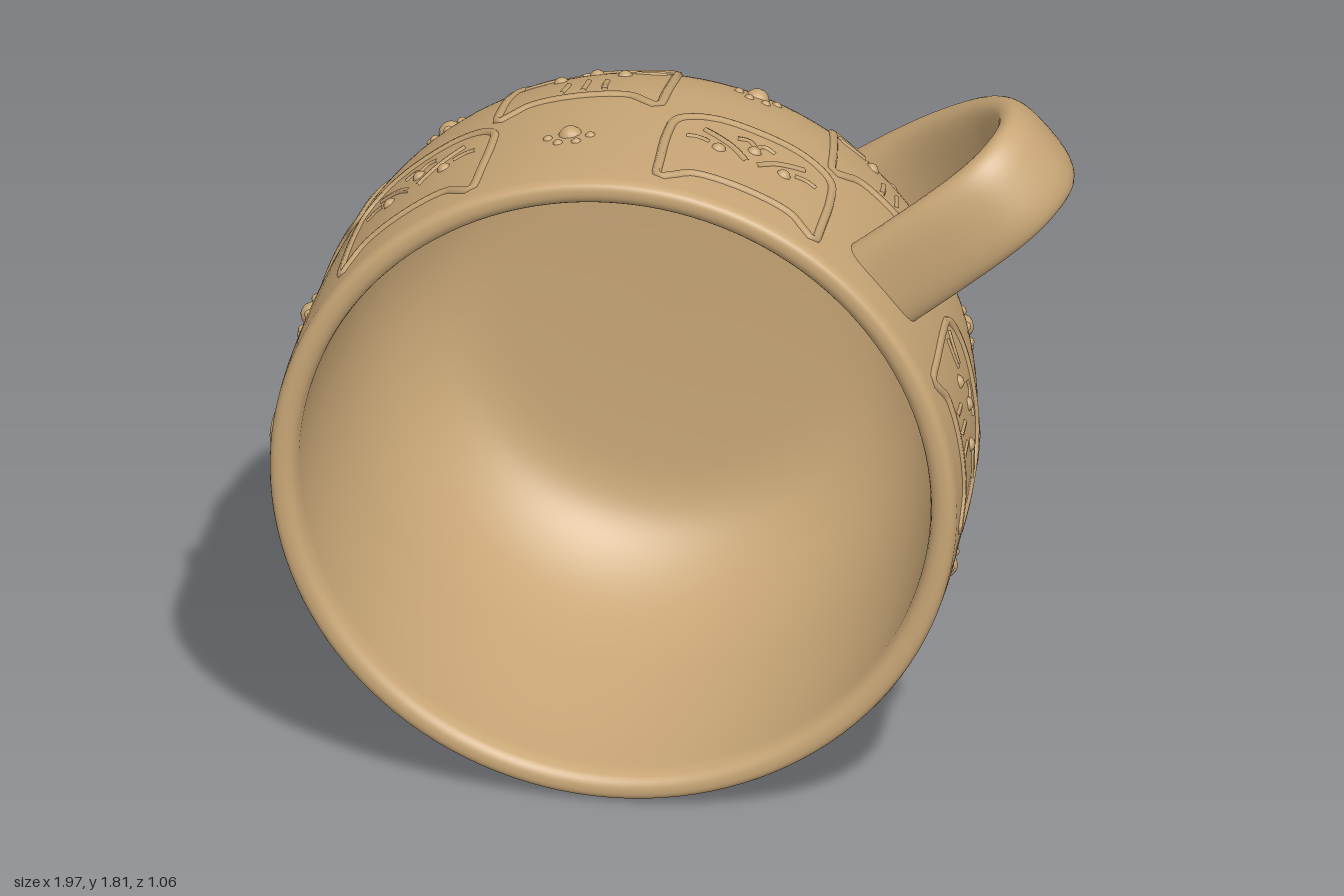
import * as THREE from 'three';
import { mergeGeometries } from 'three/addons/utils/BufferGeometryUtils.js';
import { ParametricGeometry } from 'three/addons/geometries/ParametricGeometry.js';

const CX = -0.125, CY = 0.875;          // the mug's axis runs along z through here
const V2 = (p) => new THREE.Vector2(p[0], p[1]);
const spline = (pts, n) => new THREE.SplineCurve(pts.map(V2)).getPoints(n);

// Half-section of the mug as (radius, z)
const base = spline([[0, -0.49], [0.3, -0.49], [0.41, -0.495], [0.47, -0.522], [0.52, -0.532], [0.56, -0.525]], 30);
const outer = spline([[0.56, -0.525], [0.6, -0.485], [0.67, -0.405], [0.735, -0.31], [0.79, -0.2], [0.822, -0.08],
  [0.84, 0.06], [0.853, 0.25], [0.859, 0.42], [0.858, 0.505]], 60);
const lip = spline([[0.858, 0.505], [0.852, 0.522], [0.838, 0.53], [0.815, 0.528], [0.797, 0.512], [0.789, 0.48]], 16);
const inner = spline([[0.789, 0.48], [0.783, 0.3], [0.765, 0.1], [0.735, -0.08], [0.68, -0.23], [0.59, -0.345],
  [0.48, -0.4], [0.3, -0.415], [0, -0.42]], 50);

// Outer radius at a given z
function radiusAt(z) {
  for (let i = 1; i < outer.length; i++) {
    const a = outer[i - 1], b = outer[i];
    if (z <= b.y) return a.x + (b.x - a.x) * (z - a.y) / (b.y - a.y);
  }
  return outer[outer.length - 1].x;
}

// Point on the wall; angle is measured from the top towards +x
function onWall(angle, z, lift) {
  const r = radiusAt(z) + lift;
  return new THREE.Vector3(CX + r * Math.sin(angle), CY + r * Math.cos(angle), z);
}

// Raised line and raised dot, drawn in a local (u, v) frame wrapped on the wall
function stroke(at, pts, width, closed = false) {
  const flat = closed ? [...pts, pts[0]] : pts;
  let samples = spline(flat, closed ? 60 : 10);
  if (closed) samples = samples.slice(0, -1);
  const path = samples.map((p) => onWall(at.angle + p.x / 0.83, at.z + p.y, -width * 0.3));
  return new THREE.TubeGeometry(new THREE.CatmullRomCurve3(path, closed), closed ? 80 : 12, width, 6, closed);
}
function dot(at, u, v, size) {
  const p = onWall(at.angle + u / 0.83, at.z + v, -size * 0.4);
  return new THREE.SphereGeometry(size, 12, 8).translate(p.x, p.y, p.z);
}

// Cat head: outline with two ears, whiskers, nose, eyes and forehead stripes
function catRelief(at, striped) {
  const parts = [stroke(at, [[0, 0.14], [0.12, 0.145], [0.17, 0.18], [0.205, 0.195], [0.212, 0.1], [0.215, -0.05], [0.2, -0.14],
    [0.12, -0.185], [0, -0.19], [-0.12, -0.185], [-0.2, -0.14], [-0.215, -0.05], [-0.212, 0.1], [-0.205, 0.195],
    [-0.17, 0.18], [-0.12, 0.145]], 0.014, true)];
  for (const s of [-1, 1]) {
    parts.push(dot(at, s * 0.085, -0.03, 0.02));
    parts.push(stroke(at, [[0, -0.1], [s * 0.02, -0.125], [s * 0.05, -0.115]], 0.008));
    if (striped) {
      parts.push(stroke(at, [[s * 0.11, -0.08], [s * 0.15, -0.085], [s * 0.19, -0.105]], 0.008));
      parts.push(stroke(at, [[s * 0.11, -0.06], [s * 0.15, -0.055], [s * 0.19, -0.06]], 0.008));
      parts.push(stroke(at, [[s * 0.05, 0.03], [s * 0.05, 0.06], [s * 0.055, 0.1]], 0.009));
    } else {
      parts.push(stroke(at, [[s * 0.012, -0.01], [s * 0.06, -0.065], [s * 0.13, -0.11]], 0.01));
      parts.push(stroke(at, [[s * 0.11, -0.05], [s * 0.14, -0.06], [s * 0.17, -0.055]], 0.008));
    }
  }
  parts.push(dot(at, 0, -0.08, 0.02));
  if (striped) parts.push(stroke(at, [[0, 0.02], [0, 0.06], [0, 0.1]], 0.009));
  return mergeGeometries(parts);
}

// Paw print: one pad and a fan of toes
function pawRelief(at) {
  const parts = [dot(at, 0, 0, 0.032)];
  for (let i = 0; i < 4; i++) {
    const a = Math.PI * (0.1 + 0.8 * i / 3);
    parts.push(dot(at, 0.055 * Math.cos(a), 0.055 * Math.sin(a), 0.014));
  }
  return mergeGeometries(parts);
}

// Strap handle swept in the plane of the axis and a 40 degree radius
function handleGeometry() {
  const path = new THREE.SplineCurve([[0.79, 0.345], [0.95, 0.355], [1.12, 0.352], [1.23, 0.325], [1.295, 0.255], [1.31, 0.17],
    [1.27, 0.05], [1.17, -0.07], [1.02, -0.175], [0.87, -0.245], [0.72, -0.29]].map(V2));
  const a = THREE.MathUtils.degToRad(39.8), ca = Math.cos(a), sa = Math.sin(a);
  const soft = (x, e) => Math.sign(x) * Math.abs(x) ** e;
  return new ParametricGeometry((u, v, out) => {
    const p = path.getPoint(u), t = path.getTangent(u), w = v * Math.PI * 2;
    const flare = 1 + 0.35 * Math.max(0, 1 - u / 0.1) ** 2 + 0.5 * Math.max(0, (u - 0.85) / 0.15) ** 2;
    const thick = 0.05 * flare * soft(Math.cos(w), 0.8);
    const side = 0.125 * soft(Math.sin(w), 0.75);
    const r = p.x - t.y * thick, z = p.y + t.x * thick;
    out.set(CX + r * ca - side * sa, CY + r * sa + side * ca, z);
  }, 64, 32);
}

export function createModel() {
  const group = new THREE.Group();
  const clay = new THREE.MeshStandardMaterial({ color: 0xc8a676 });
  clay.name = 'tan clay';
  const add = (name, geometry) => {
    const mesh = new THREE.Mesh(geometry, clay);
    mesh.name = name;
    group.add(mesh);
  };

  // Mug wall, base and hollow
  const profile = [...base, ...outer.slice(1), ...lip.slice(1), ...inner.slice(1)];
  add('mugBody', new THREE.LatheGeometry(profile, 128).rotateX(Math.PI / 2).translate(CX, CY, 0));
  add('handle', handleGeometry());

  // Two staggered rows of reliefs around the wall
  for (let i = 0; i < 6; i++) {
    const at = (deg, z) => ({ angle: THREE.MathUtils.degToRad(deg + 60 * i), z });
    add('frontRowCat', catRelief(at(21, 0.26), i === 1));
    add('backRowCat', catRelief(at(-11, -0.14), i !== 4));
    add('frontRowPaw', pawRelief(at(-10, 0.24)));
    add('backRowPaw', pawRelief(at(19, -0.2)));
  }
  return group;
}
